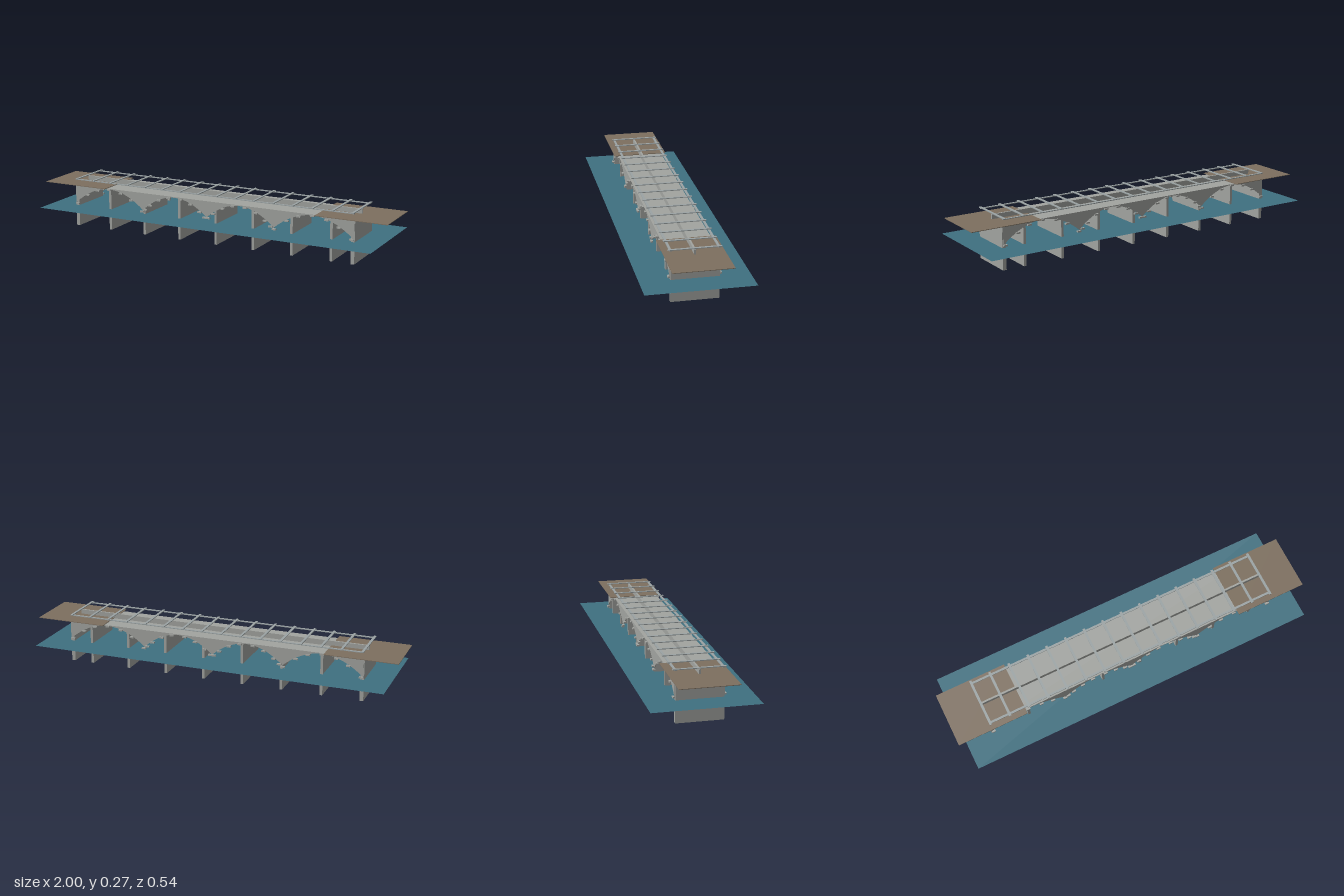
import * as THREE from 'three';

const mat = (name, color, side = THREE.FrontSide) => {
  const m = new THREE.MeshStandardMaterial({ color, side });
  m.name = name;
  return m;
};

export function createModel() {
  const root = new THREE.Group();
  root.name = 'archBridge';
  const stone = mat('stone', 0xa2a4a0);
  const rail = mat('railing', 0x9ba3a4);
  const earth = mat('earth', 0x7d6f5f);
  const water = mat('water', 0x3f7080, THREE.DoubleSide);

  const box = (name, m, w, h, d, x, y, z) => {
    const mesh = new THREE.Mesh(new THREE.BoxGeometry(w, h, d), m);
    mesh.name = name;
    mesh.position.set(x, y, z);
    root.add(mesh);
    return mesh;
  };

  // river surface
  const river = new THREE.Mesh(new THREE.PlaneGeometry(1.92, 0.54), water);
  river.name = 'water';
  river.rotation.x = -Math.PI / 2;
  river.position.y = 0.115;
  root.add(river);

  // banks at both ends
  for (const s of [-1, 1]) box('bank', earth, 0.385, 0.003, 0.296, s * 0.8075, 0.2325, 0);

  // deck and the low spine along its middle
  box('deck', stone, 1.63, 0.004, 0.24, 0, 0.228, 0);
  box('spine', stone, 1.63, 0.028, 0.01, 0, 0.244, 0);

  // cross-wall piers
  for (const x of [-0.812, -0.6, -0.385, -0.17, 0.047, 0.263, 0.48, 0.697, 0.812]) {
    const w = Math.abs(x) > 0.8 ? 0.02 : 0.014;
    box('pier', stone, w, 0.226, 0.24, x, 0.113, 0);
  }

  // arched side walls: each arch is [start, end, spring height, stone positions]
  const apex = 0.226;
  const outer = [-1, -0.67, -0.36, 0, 0.36, 0.67, 1];
  const inner = [-1, -0.83, -0.53, -0.2, 0.2, 0.53, 0.83, 1];
  const arches = [
    [-0.818, -0.385, 0.13, outer],
    [-0.385, -0.005, 0.142, inner],
    [-0.005, 0.375, 0.142, inner],
    [0.375, 0.818, 0.13, outer],
  ];
  const archY = (u, spring) => apex - (apex - spring) * u * u;

  const wall = new THREE.Shape();
  wall.moveTo(-0.818, 0.23);
  for (const [a, b, spring] of arches) {
    for (let i = 0; i <= 16; i++) {
      const u = (i / 16) * 2 - 1;
      wall.lineTo((a + b) / 2 + (u * (b - a)) / 2, archY(u, spring));
    }
  }
  wall.lineTo(0.818, 0.23);
  wall.closePath();
  const wallGeo = new THREE.ExtrudeGeometry(wall, { depth: 0.004, bevelEnabled: false });

  for (const s of [-1, 1]) {
    const mesh = new THREE.Mesh(wallGeo, stone);
    mesh.name = 'archWall';
    mesh.position.z = s > 0 ? 0.119 : -0.123;
    root.add(mesh);

    // projecting arch stones
    for (const [a, b, spring, stones] of arches) {
      for (const u of stones) {
        const x = (a + b) / 2 + (u * (b - a - 0.02)) / 2;
        box('archStone', stone, 0.022, 0.008, 0.012, x, archY(u, spring) - 0.002, s * 0.125);
      }
    }

    // long rail
    box('sideRail', rail, 1.63, 0.004, 0.012, 0, 0.26, s * 0.117);
  }

  // cross beams over the rails
  for (let i = 0; i < 16; i++) {
    box('crossBeam', rail, 0.013, 0.004, 0.262, -0.81 + i * 0.108, 0.264, 0);
  }
  return root;
}
